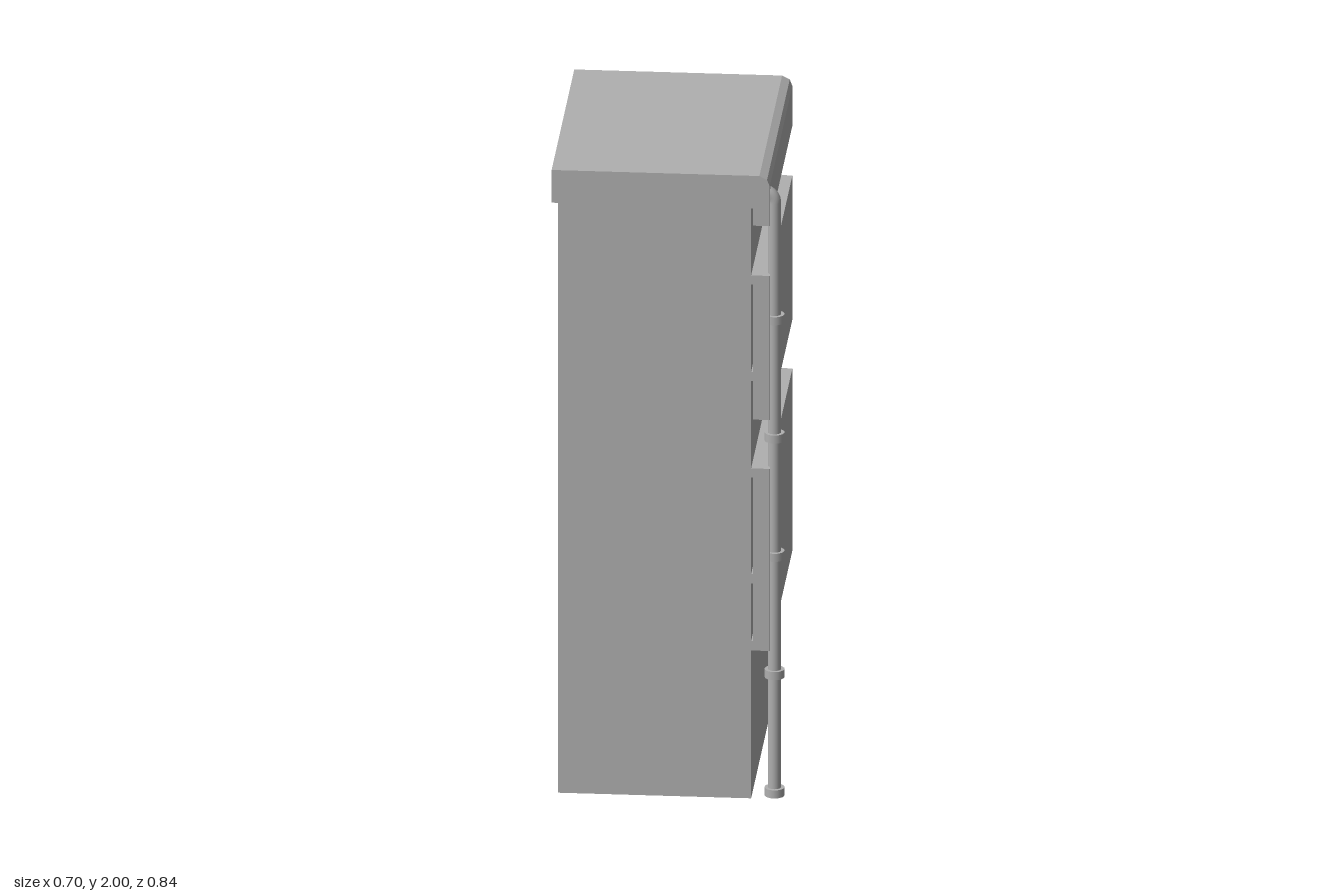
import * as THREE from 'three';

export function createModel() {
  const model = new THREE.Group();
  model.name = 'tallCabinet';

  const grey = new THREE.MeshStandardMaterial({ color: 0xb0b0b0 });
  grey.name = 'plain grey';

  const add = (name, geometry) => {
    const mesh = new THREE.Mesh(geometry, grey);
    mesh.name = name;
    model.add(mesh);
    return mesh;
  };

  // Box given by its lower and upper corners
  const block = (name, [x0, y0, z0], [x1, y1, z1]) => {
    const mesh = add(name, new THREE.BoxGeometry(x1 - x0, y1 - y0, z1 - z0));
    mesh.position.set((x0 + x1) / 2, (y0 + y1) / 2, (z0 + z1) / 2);
  };

  // Main body, set back from the rear edge of the roof
  block('body', [-0.33, 0, -0.33], [0.25, 1.895, 0.42]);

  // Roof slab with a hanging lip and an eased upper corner
  const profile = new THREE.Shape([
    [-0.35, 1.895], [0.255, 1.895], [0.255, 1.84], [0.306, 1.84],
    [0.306, 1.967], [0.298, 1.988], [0.275, 2], [-0.35, 2],
  ].map(([x, y]) => new THREE.Vector2(x, y)));
  const roof = new THREE.ExtrudeGeometry(profile, { depth: 0.84, bevelEnabled: false });
  roof.translate(0, 0, -0.42);
  add('roof', roof);

  // Two wide panels held just clear of the side
  block('upperPanel', [0.255, 1.217, -0.42], [0.306, 1.68, 0.42]);
  block('lowerPanel', [0.255, 0.475, -0.42], [0.306, 1.06, 0.42]);

  // Rails run through the body, showing at the rear and behind the panels
  for (const y of [1.665, 1.355, 1.045, 0.705, 0.49]) {
    block('rail', [-0.329, y - 0.015, -0.367], [0.256, y + 0.015, 0.419]);
  }

  // Downpipe bending into the roof edge
  const px = 0.318, pz = 0.389;
  const path = new THREE.CurvePath();
  const bottom = new THREE.Vector3(px, 0.004, pz);
  const bend = new THREE.Vector3(px, 1.905, pz);
  path.add(new THREE.LineCurve3(bottom, bend));
  path.add(new THREE.QuadraticBezierCurve3(
    bend, new THREE.Vector3(px, 1.935, pz), new THREE.Vector3(0.28, 1.945, pz)));
  add('pipe', new THREE.TubeGeometry(path, 200, 0.02, 16));

  // Collars along the pipe
  for (let i = 0; i < 5; i++) {
    const collar = add('pipeCollar', new THREE.CylinderGeometry(0.03, 0.03, 0.026, 20));
    collar.position.set(px, 0.014 + i * 0.38, pz);
  }

  return model;
}
